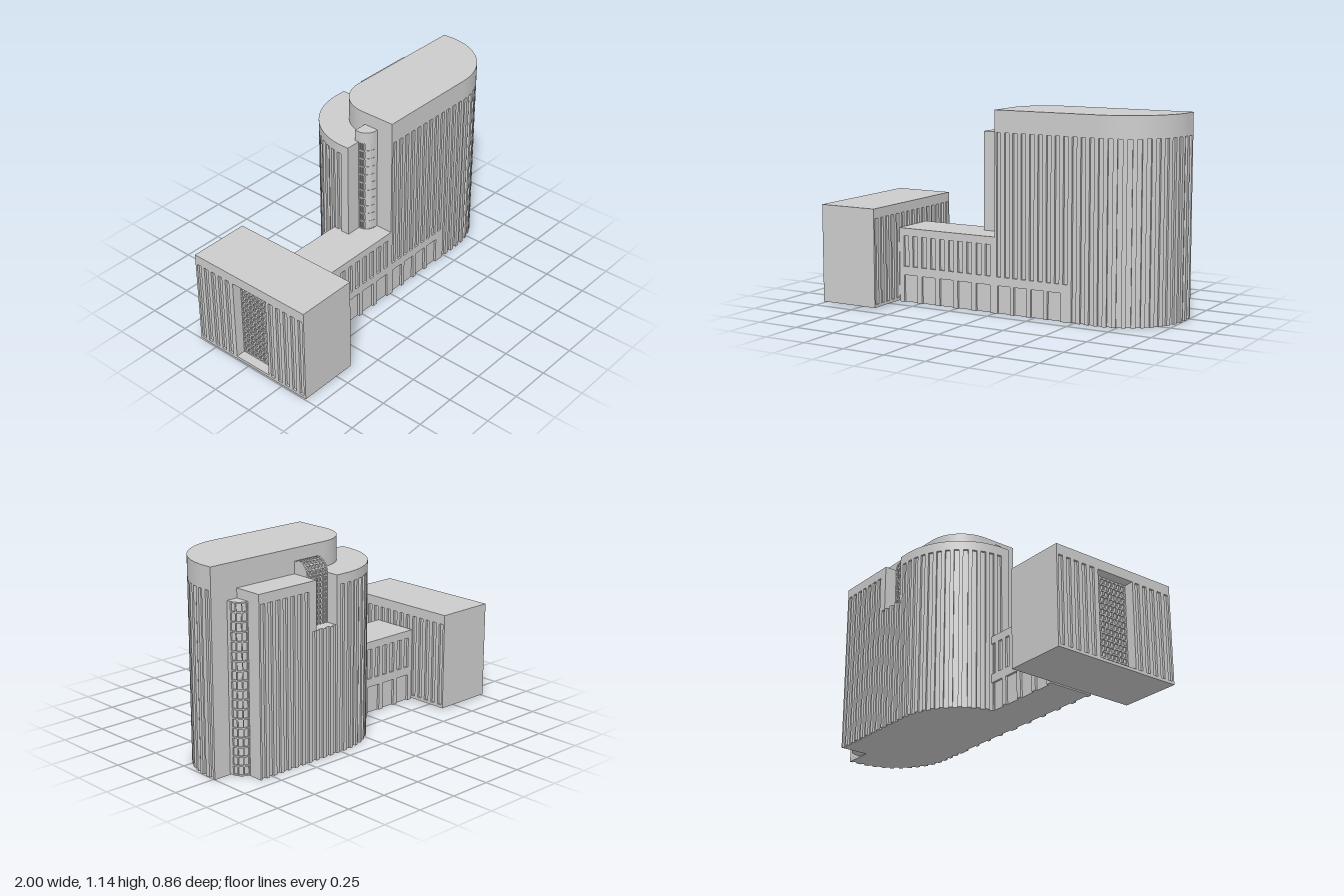
import * as THREE from 'three';
import { toCreasedNormals } from 'three/addons/utils/BufferGeometryUtils.js';

const grey = new THREE.MeshStandardMaterial({ color: 0xcccccc });
const DEPTH = 0.013, PITCH = 0.0525, GROOVE = 0.028;

function mesh(geometry, name, parent) {
  const m = new THREE.Mesh(geometry, grey);
  m.name = name;
  parent.add(m);
  return m;
}

function box(w, h, d, x, y, z, name, parent) {
  const m = mesh(new THREE.BoxGeometry(w, h, d), name, parent);
  m.position.set(x, y, z);
  return m;
}

// Plan pieces run counter-clockwise in (x, -z); cuts are [from, to, depth] along the piece
function line(x0, y0, x1, y1, cuts = []) {
  const len = Math.hypot(x1 - x0, y1 - y0), dx = (x1 - x0) / len, dy = (y1 - y0) / len;
  return { len, cuts, steps: 1, at: (d, inset) => [x0 + dx * d - dy * inset, y0 + dy * d + dx * inset] };
}

function arc(cx, cy, r, a0, a1, cuts = []) {
  return {
    len: r * (a1 - a0), cuts, steps: cuts.length ? 2 : 32,
    at: (d, inset) => {
      const a = a0 + d / r;
      return [cx + Math.cos(a) * (r - inset), cy + Math.sin(a) * (r - inset)];
    },
  };
}

// Evenly spaced grooves centred on a wall of a given length
function grooves(len) {
  const n = Math.max(1, Math.round(len / PITCH)), p = len / n;
  return Array.from({ length: n }, (_, i) => [(i + 0.5) * p - GROOVE / 2, (i + 0.5) * p + GROOVE / 2, DEPTH]);
}

function windows(n, start, width, pitch) {
  return Array.from({ length: n }, (_, i) => [start + i * pitch, start + i * pitch + width, DEPTH]);
}

// Replace any cuts that touch a larger recess
function withRecess(cuts, recess) {
  return [...cuts.filter(c => c[1] < recess[0] - 0.004 || c[0] > recess[1] + 0.004), recess].sort((a, b) => a[0] - b[0]);
}

const flipCuts = (cuts, len) => cuts.map(([a, b, d]) => [len - b, len - a, d]).reverse();

function outline(pieces) {
  const pts = [];
  for (const { len, cuts, steps, at } of pieces) {
    const run = (a, b, inset) => {
      for (let i = 0; i <= steps; i++) pts.push(new THREE.Vector2(...at(a + (b - a) * i / steps, inset)));
    };
    let d = 0;
    for (const [a, b, depth] of cuts) {
      run(d, a, 0);
      run(a, b, depth);
      d = b;
    }
    run(d, len, 0);
  }
  const clean = pts.filter((p, i) => p.distanceTo(pts[(i + 1) % pts.length]) > 1e-5);
  return new THREE.Shape(clean);
}

// One horizontal slice of a building between two heights
function layer(pieces, y0, y1, name, parent) {
  const g = new THREE.ExtrudeGeometry(outline(pieces), { depth: y1 - y0, bevelEnabled: false });
  g.rotateX(-Math.PI / 2);
  g.translate(0, y0, 0);
  return mesh(toCreasedNormals(g, 0.35), name, parent);
}

function mainTower(root) {
  const g = new THREE.Group();
  g.name = 'mainTower';
  const front = grooves(0.63), right = grooves(0.37 * Math.PI / 2), side = grooves(0.06);
  const plan = (frontCuts, grooved = true) => [
    line(0, -0.17, 0.63, -0.17, frontCuts),
    arc(0.63, 0.2, 0.37, -Math.PI / 2, 0, grooved ? right : []),
    line(1, 0.2, 1, 0.26, grooved ? side : []),
    line(1, 0.26, 0.22, 0.26),
    arc(0.22, 0.04, 0.22, Math.PI / 2, Math.PI),
    line(0, 0.04, 0, -0.17),
  ];
  const tall = front.slice(9);
  layer(plan([...windows(4, 0.018, 0.082, 0.106), ...tall]), 0, 0.16, 'groundFloor', g);
  layer(plan(tall), 0.16, 0.21, 'floorBand', g);
  layer(plan(front), 0.21, 1.02, 'groovedWalls', g);
  layer(plan([], false), 1.02, 1.145, 'crown', g);
  root.add(g);
}

function rearTower(root) {
  const g = new THREE.Group();
  g.name = 'rearTower';
  const back = grooves(0.61), curve = grooves(0.39 * Math.PI / 2), recess = [0.395, 0.545, 0.08];
  const plan = (backCuts, curveCuts) => [
    line(0.3, 0, 0.3, 0.2), line(0.3, 0.2, 0.83, 0.2),
    line(0.83, 0.2, 0.83, 0.43),
    line(0.83, 0.43, 0.22, 0.43, backCuts),
    arc(0.22, 0.04, 0.39, Math.PI / 2, Math.PI, curveCuts),
    line(-0.17, 0.04, -0.17, 0), line(-0.17, 0, 0.3, 0),
  ];
  layer(plan(back, curve), 0, 0.73, 'lowerWalls', g);
  layer(plan(withRecess(back, recess), curve), 0.73, 0.95, 'upperWalls', g);
  layer(plan([recess], []), 0.95, 1.005, 'parapet', g);
  root.add(g);
}

// Curved glazing that rolls over the rear roof and drops into the recess
function glazedVault(root) {
  const g = new THREE.Group();
  g.name = 'glazedVault';
  const slice = (start, r, x, width, name) => {
    const s = new THREE.Shape();
    s.moveTo(start, 0.73);
    s.lineTo(0.285 + r, 0.73);
    s.lineTo(0.285 + r, 1.01);
    s.absarc(0.285, 1.01, r, 0, Math.PI / 2);
    s.lineTo(start, 1.01 + r);
    const geo = new THREE.ExtrudeGeometry(s, { depth: width, bevelEnabled: false, curveSegments: 16 });
    geo.rotateY(Math.PI / 2);
    geo.translate(x, 0, 0);
    mesh(toCreasedNormals(geo, 0.35), name, g);
  };
  slice(0.25, 0.064, 0.286, 0.148, 'glass');
  for (let i = 0; i < 7; i++) slice(0.285, 0.073, 0.286 + i * 0.0234, 0.008, 'rib');
  for (let y = 0.75; y < 1; y += 0.03) box(0.148, 0.008, 0.012, 0.36, y, -0.35, 'crossBar', g);
  for (let i = 0; i <= 4; i++) {
    const a = i * Math.PI / 8;
    const bar = box(0.148, 0.008, 0.012, 0.36, 1.01 + 0.067 * Math.sin(a), -0.285 - 0.067 * Math.cos(a), 'crossBar', g);
    bar.rotation.x = a;
  }
  root.add(g);
}

// Quarter-round stair shaft with a stack of windows on its curve
function stairShaft(y0, y1, windowTop, from, to, name, root) {
  const g = new THREE.Group();
  g.name = name;
  const r = 0.066, len = r * Math.PI / 2, n = 3, w = (to - from) * len / n;
  const cuts = windows(n, from * len + 0.003, w - 0.006, w).map(([a, b]) => [a, b, 0.008]);
  const plan = c => [
    line(-0.02, -0.024, r, -0.024), line(r, -0.024, r, 0),
    arc(0, 0, r, 0, Math.PI / 2, c),
    line(0, r, -0.02, r), line(-0.02, r, -0.02, -0.024),
  ];
  const rows = Math.round((windowTop - y0) / 0.0525), h = (windowTop - y0) / rows;
  for (let i = 0; i < rows; i++) {
    const y = y0 + i * h;
    layer(plan([]), y, y + 0.008, 'floorRing', g);
    layer(plan(cuts), y + 0.008, y + h, 'windowRow', g);
  }
  layer(plan([]), windowTop, y1, 'cap', g);
  root.add(g);
  return g;
}

function linkBuilding(root) {
  const g = new THREE.Group();
  g.name = 'linkBuilding';
  const plan = cuts => [
    line(-0.64, -0.17, 0, -0.17, cuts), line(0, -0.17, 0, 0.11),
    line(0, 0.11, -0.64, 0.11, flipCuts(cuts, 0.64)), line(-0.64, 0.11, -0.64, -0.17),
  ];
  layer(plan(windows(5, 0.03, 0.092, 0.122)), 0, 0.16, 'groundFloor', g);
  layer(plan([]), 0.16, 0.21, 'floorBand', g);
  layer(plan(windows(10, 0.03, 0.033, 0.061)), 0.21, 0.39, 'upperFloor', g);
  layer(plan([]), 0.39, 0.435, 'parapet', g);
  root.add(g);
}

function endBlock(root) {
  const g = new THREE.Group();
  g.name = 'endBlock';
  const side = grooves(0.79), outer = withRecess(side, [0.28, 0.52, 0.065]);
  const plan = (inner, out) => [
    line(-1, -0.425, -0.64, -0.425), line(-0.64, -0.425, -0.64, 0.365, inner),
    line(-0.64, 0.365, -1, 0.365), line(-1, 0.365, -1, -0.425, out),
  ];
  layer(plan([], []), 0.008, 0.025, 'base', g);
  layer(plan(side, outer), 0.025, 0.52, 'groovedWalls', g);
  layer(plan([], []), 0.52, 0.577, 'roofBand', g);
  // Window grid at the back of the entrance bay
  for (let i = 0; i <= 8; i++) box(0.012, 0.495, 0.008, -0.938, 0.2725, -0.081 + i * 0.029, 'bayMullion', g);
  for (let i = 0; i <= 14; i++) box(0.012, 0.008, 0.238, -0.938, 0.03 + i * 0.0345, 0.035, 'bayCrossBar', g);
  root.add(g);
}

export function createModel() {
  const root = new THREE.Group();
  root.name = 'officeComplex';
  mainTower(root);
  rearTower(root);
  glazedVault(root);
  stairShaft(0.005, 0.952, 0.945, 0.02, 0.98, 'rightStairShaft', root).position.set(0.83, 0, -0.28);
  const left = stairShaft(0.43, 1.07, 1.0, 0.02, 0.4, 'leftStairShaft', root);
  left.position.set(-0.015, 0, 0);
  left.rotation.y = Math.PI;
  linkBuilding(root);
  endBlock(root);
  return root;
}
